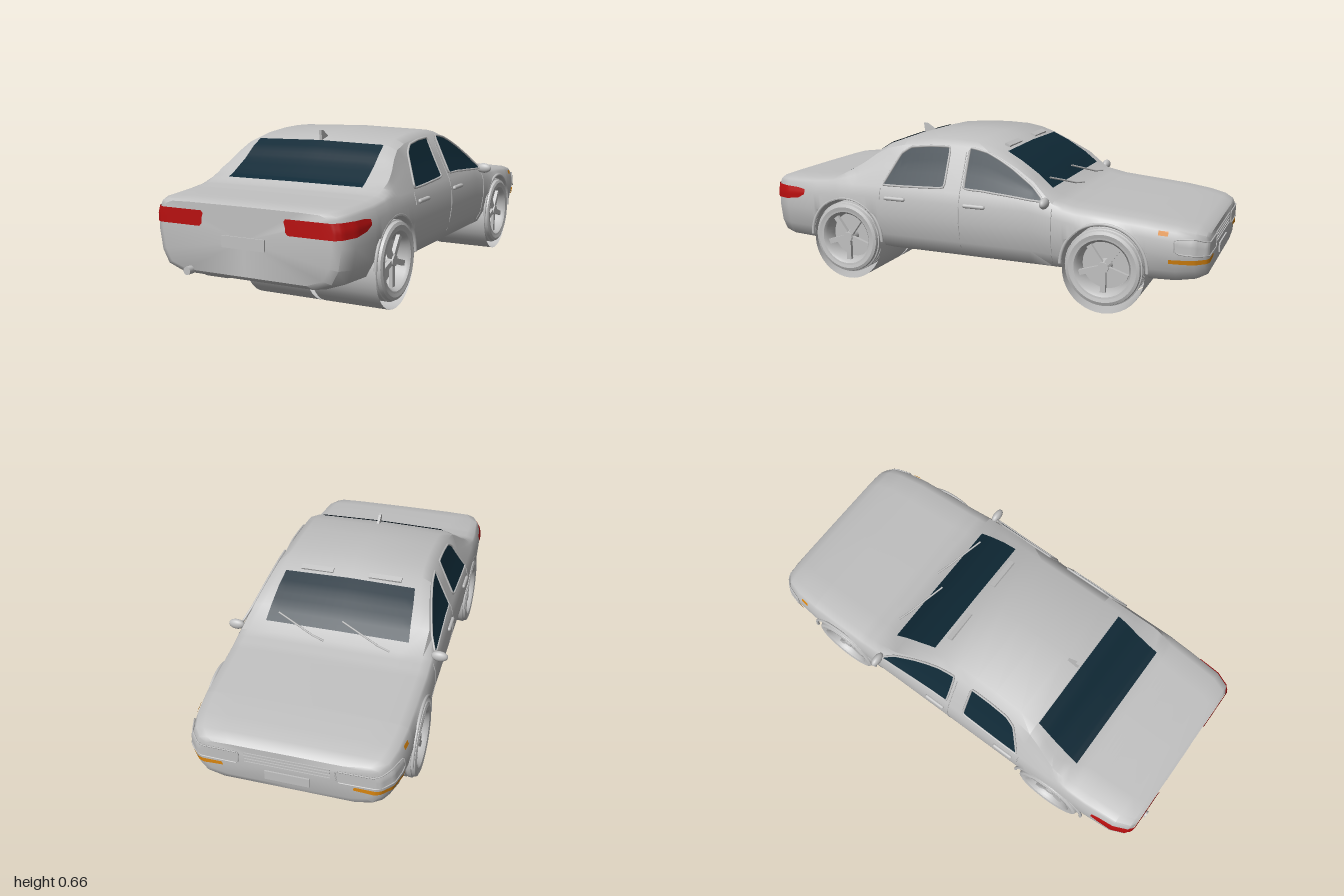
import * as THREE from 'three';
import { toCreasedNormals } from 'three/addons/utils/BufferGeometryUtils.js';

const { lerp, clamp } = THREE.MathUtils;
const V = (x, y, z) => new THREE.Vector3(x, y, z);
const mat = (name, color) => Object.assign(new THREE.MeshStandardMaterial({ color, side: THREE.DoubleSide }), { name });

// Body stations from nose (-z) to tail (+z): z, top height, half width, floor height
const STATIONS = [
  [-0.995, 0.345, 0.34, 0.19], [-0.985, 0.355, 0.368, 0.165], [-0.95, 0.368, 0.4, 0.15], [-0.88, 0.381, 0.42, 0.138],
  [-0.77, 0.395, 0.432, 0.135], [-0.475, 0.42, 0.44, 0.135], [-0.378, 0.44, 0.44, 0.135], [-0.287, 0.517, 0.44, 0.135],
  [-0.206, 0.57, 0.44, 0.135], [-0.13, 0.61, 0.44, 0.135], [-0.07, 0.634, 0.44, 0.135], [0, 0.648, 0.44, 0.135],
  [0.1, 0.652, 0.44, 0.135], [0.2, 0.65, 0.44, 0.135], [0.33, 0.638, 0.44, 0.135], [0.41, 0.617, 0.44, 0.135],
  [0.464, 0.582, 0.44, 0.135], [0.517, 0.537, 0.44, 0.135], [0.6, 0.483, 0.44, 0.135], [0.66, 0.455, 0.44, 0.135],
  [0.75, 0.446, 0.438, 0.135], [0.9, 0.44, 0.426, 0.14], [0.96, 0.435, 0.4, 0.15], [0.975, 0.428, 0.37, 0.165],
];
const NOSE = -0.995, TAIL = 0.975, AXLES = [-0.598, 0.585], AXLE_Y = 0.19, ARCH = 0.175;

// Half cross-section at z, from floor centre to roof centre
function section(z, archY = 0) {
  let i = 0;
  while (i < STATIONS.length - 2 && z > STATIONS[i + 1][0]) i++;
  const a = STATIONS[i], b = STATIONS[i + 1], t = clamp((z - a[0]) / (b[0] - a[0]), 0, 1);
  const [top, w, floor] = [1, 2, 3].map(k => lerp(a[k], b[k], t));
  const shoulder = Math.min(0.435, top - 0.025), h = top - shoulder;
  const k = clamp((top - 0.45) / 0.06, 0, 1);
  const pts = [[0, 0], [0.72, 0], [0.9, 0.1], [0.97, 0.3], [1, 0.6], [0.995, 0.85], [0.967, 1]]
    .map(([x, f]) => [x * w, Math.max(archY, lerp(floor, shoulder, f))]);
  const cabin = f => 0.415 - (shoulder + f * h - 0.44) * 0.41;
  pts.push([lerp(0.95 * w, cabin(0.45), k), shoulder + 0.45 * h], [lerp(0.87 * w, cabin(0.87), k), shoulder + 0.87 * h],
    [lerp(0.65 * w, cabin(0.87) - 0.04, k), shoulder + 0.965 * h], [0, top]);
  return pts;
}
// Half width of the body at height y, and height of its upper surface at x
function sideX(y, z) {
  const p = section(z);
  for (let i = 1; i < p.length - 1; i++)
    if (y <= p[i + 1][1] && y >= p[i][1]) return lerp(p[i][0], p[i + 1][0], (y - p[i][1]) / (p[i + 1][1] - p[i][1]));
  return p[p.length - 2][0];
}
function topY(x, z) {
  const p = section(z), ax = Math.abs(x);
  for (let i = p.length - 2; i > 5; i--)
    if (ax <= p[i][0]) return lerp(p[i + 1][1], p[i][1], (ax - p[i + 1][0]) / (p[i][0] - p[i + 1][0]));
  return p[6][1];
}

function buildGeometry(pos, idx) {
  const g = new THREE.BufferGeometry();
  g.setAttribute('position', new THREE.Float32BufferAttribute(pos, 3));
  g.setIndex(idx);
  return g;
}
// Closed hull lofted through the sections, its lower edge lifted over each wheel
function bodyGeometry() {
  const rows = STATIONS.map(s => [s[0], 0]).filter(([z]) => AXLES.every(c => Math.abs(z - c) > ARCH));
  for (const c of AXLES) {
    rows.push([c - ARCH - 0.0005, 0], [c + ARCH + 0.0005, 0]);
    for (let i = 0; i <= 20; i++) {
      const a = Math.PI * i / 20;
      rows.push([c - ARCH * Math.cos(a), AXLE_Y + ARCH * Math.sin(a)]);
    }
  }
  rows.sort((a, b) => a[0] - b[0]);
  const pos = [], idx = [];
  let n = 0;
  for (const [z, arch] of rows) {
    const half = section(z, arch);
    const ring = [...half, ...half.slice(1, -1).reverse().map(([x, y]) => [-x, y])];
    n = ring.length;
    for (const [x, y] of ring) pos.push(x, y, z);
  }
  const last = rows.length - 1, nose = rows.length * n;
  pos.push(0, 0.27, NOSE, 0, 0.3, TAIL);
  for (let j = 0; j < n; j++) {
    const k = (j + 1) % n;
    for (let i = 0; i < last; i++) {
      const a = i * n + j, b = i * n + k;
      idx.push(a, b, b + n, a, b + n, a + n);
    }
    idx.push(nose, k, j, nose + 1, last * n + j, last * n + k);
  }
  return toCreasedNormals(buildGeometry(pos, idx), 0.75);
}
// Thin panel lying on a surface: columns [u, low, high], placed by fn(u, v)
function patchGeometry(cols, fn, sub = 4, rows = 6) {
  const pos = [], idx = [], n = (cols.length - 1) * sub;
  for (let i = 0; i <= n; i++) {
    const c = Math.min(Math.floor(i / sub), cols.length - 2), t = i / sub - c;
    const [u, lo, hi] = [0, 1, 2].map(k => lerp(cols[c][k], cols[c + 1][k], t));
    for (let j = 0; j <= rows; j++) pos.push(...fn(u, lerp(lo, hi, j / rows)).toArray());
    if (i < n) for (let j = 0; j < rows; j++) {
      const a = i * (rows + 1) + j, b = a + rows + 1;
      idx.push(a, b, b + 1, a, b + 1, a + 1);
    }
  }
  const g = buildGeometry(pos, idx);
  g.computeVertexNormals();
  return g;
}
const tube = (pts, r, closed = false) =>
  new THREE.TubeGeometry(new THREE.CatmullRomCurve3(pts, closed, 'catmullrom', 0.1), pts.length * 4, r, 6, closed);
const outline = (cols, fn, r) =>
  tube([...cols.map(c => fn(c[0], c[1])), ...[...cols].reverse().map(c => fn(c[0], c[2]))], r, true);

export function createModel() {
  const car = new THREE.Group();
  car.name = 'car';
  const paint = mat('silverGrey', 0xc0c0c0), glass = mat('darkGlass', 0x0f2936);
  const red = mat('lampRed', 0xb80f0f), orange = mat('indicatorOrange', 0xd98510);
  const add = (name, geo, m, parent = car, x = 0, y = 0, z = 0) => {
    const mesh = new THREE.Mesh(geo, m);
    mesh.name = name;
    mesh.position.set(x, y, z);
    parent.add(mesh);
    return mesh;
  };
  add('body', bodyGeometry(), paint);

  // Windscreens
  const upper = (z, x) => V(x, topY(x, z) + 0.005, z);
  add('frontWindscreen', patchGeometry([[-0.345, -0.315, 0.315], [-0.287, -0.308, 0.308], [-0.206, -0.3, 0.3], [-0.135, -0.29, 0.29]], upper, 3, 16), glass);
  add('rearWindscreen', patchGeometry([[0.415, -0.295, 0.295], [0.464, -0.3, 0.3], [0.517, -0.303, 0.303], [0.6, -0.308, 0.308], [0.63, -0.31, 0.31]], upper, 3, 16), glass);

  // Wheel: grooved tyre, dished rim, five spokes
  const tyre = [[0.118, -0.06], [0.14, -0.065], [0.152, -0.06]];
  for (const y of [-0.038, -0.013, 0.013, 0.038])
    tyre.push([0.16, y - 0.009], [0.16, y + 0.007], [0.155, y + 0.009], [0.155, y + 0.013]);
  tyre.push([0.152, 0.06], [0.14, 0.065], [0.118, 0.06]);
  const lathe = pts => toCreasedNormals(new THREE.LatheGeometry(pts.map(p => new THREE.Vector2(...p)), 48), 0.6);
  const tyreGeo = lathe(tyre);
  const rimGeo = lathe([[0.11, -0.06], [0.1, 0], [0.108, 0.05], [0.118, 0.062], [0.126, 0.063]]);

  for (const s of [1, -1]) {
    const side = s > 0 ? 'left' : 'right';
    const onSide = (z, y) => V(s * (sideX(y, z) + 0.005), y, z);

    // Side windows with trim
    const windows = {
      RearWindow: [[0.395, 0.445, 0.452], [0.335, 0.445, 0.575], [0.29, 0.446, 0.606], [0.2, 0.449, 0.616], [0.125, 0.452, 0.618], [0.105, 0.46, 0.614]],
      FrontWindow: [[0.013, 0.46, 0.618], [-0.07, 0.455, 0.605], [-0.13, 0.45, 0.58], [-0.19, 0.446, 0.55], [-0.287, 0.438, 0.49], [-0.34, 0.436, 0.444]],
    };
    for (const [name, cols] of Object.entries(windows)) {
      add(side + name, patchGeometry(cols, onSide), glass);
      add(side + name + 'Trim', outline(cols, onSide, 0.005), paint);
    }
    // Door seams and handles
    for (const [z, lo, hi] of [[0.03, 0.15, 0.6], [-0.38, 0.15, 0.41], [0.41, 0.38, 0.43]]) {
      const pts = Array.from({ length: 9 }, (_, i) => onSide(z, lerp(lo, hi, i / 8)).sub(V(s * 0.004, 0, 0)));
      add(side + 'DoorSeam', tube(pts, 0.002), paint);
    }
    for (const z of [0.335, -0.04]) {
      const handle = add(side + 'DoorHandle', new THREE.CapsuleGeometry(0.009, 0.085, 4, 10), paint, car, s * 0.44, 0.39, z);
      handle.rotation.x = Math.PI / 2;
    }
    // Lamps wrapping the corners: u < 0 runs along the flank, u > 0 across the end
    const wrap = end => (u, y) => {
      const dir = Math.sign(end), z = end + Math.min(u, 0) * dir;
      return V(s * (sideX(y, z) + 0.006 - Math.max(u, 0)), y, z + dir * (u > -0.01 ? 0.005 : 0));
    };
    const tailCols = [[-0.175, 0.37, 0.392], [-0.14, 0.352, 0.398], [-0.075, 0.342, 0.4], [-0.015, 0.34, 0.4], [0, 0.34, 0.4], [0.18, 0.34, 0.4], [0.19, 0.35, 0.39]];
    add(side + 'TailLamp', patchGeometry(tailCols, wrap(TAIL)), red);
    const headCols = [[-0.12, 0.29, 0.33], [-0.1, 0.277, 0.335], [-0.045, 0.272, 0.335], [-0.01, 0.268, 0.322], [0, 0.265, 0.318], [0.14, 0.262, 0.316], [0.15, 0.27, 0.308]];
    add(side + 'HeadLamp', patchGeometry(headCols, wrap(NOSE)), paint);
    add(side + 'HeadLampTrim', outline(headCols, wrap(NOSE), 0.003), paint);
    add(side + 'Indicator', patchGeometry([[-0.14, 0.237, 0.253], [-0.045, 0.234, 0.253], [-0.01, 0.234, 0.253], [0, 0.234, 0.253], [0.08, 0.238, 0.253]], wrap(NOSE)), orange);
    add(side + 'Marker', patchGeometry([[-0.85, 0.344, 0.362], [-0.812, 0.346, 0.364]], onSide), orange);

    // Door mirror
    const mirror = add(side + 'Mirror', new THREE.SphereGeometry(1, 20, 14), paint, car, s * 0.448, 0.435, -0.355);
    mirror.scale.set(0.036, 0.023, 0.018);
    add(side + 'MirrorArm', tube([V(s * 0.4, 0.43, -0.34), V(s * 0.44, 0.43, -0.352)], 0.009), paint);
    // Roof strip
    add(side + 'RoofStrip', new THREE.BoxGeometry(0.145, 0.014, 0.025), paint, car, s * 0.153, topY(0.15, -0.105) + 0.001, -0.105).rotation.x = -0.4;

    for (const z of AXLES) {
      const wheel = new THREE.Group();
      wheel.name = side + (z < 0 ? 'NoseWheel' : 'TailWheel');
      wheel.position.set(s * 0.38, AXLE_Y, z);
      wheel.rotation.z = -s * Math.PI / 2;
      car.add(wheel);
      add('tyre', tyreGeo, paint, wheel);
      add('rim', rimGeo, paint, wheel);
      add('brakeDisc', new THREE.CylinderGeometry(0.1, 0.1, 0.012, 32), paint, wheel, 0, -0.01, 0);
      add('hub', new THREE.CylinderGeometry(0.022, 0.028, 0.05, 20), paint, wheel, 0, 0.025, 0);
      for (let i = 0; i < 5; i++) {
        const spoke = new THREE.Group();
        spoke.name = 'spoke';
        spoke.rotation.y = i * Math.PI * 0.4;
        wheel.add(spoke);
        add('spokeBar', new THREE.BoxGeometry(0.09, 0.016, 0.022), paint, spoke, 0.06, 0.036, 0);
      }
      // Arch lip
      const lip = add(side + 'ArchLip', new THREE.TorusGeometry(ARCH + 0.004, 0.007, 8, 32, Math.PI), paint, car, s * 0.434, AXLE_Y, z);
      lip.rotation.y = Math.PI / 2;
    }
  }
  // Open wheel-well drums
  for (const z of AXLES) for (const x of [-0.01, 0.29])
    add('wheelWell', new THREE.CylinderGeometry(0.17, 0.17, 0.28, 40, 1, true), paint, car, x, 0.17, z).rotation.z = Math.PI / 2;

  // Grille bars and number plates
  for (let i = 0; i < 4; i++) add('grilleBar', new THREE.BoxGeometry(0.34, 0.007, 0.008), paint, car, 0, 0.272 + i * 0.014, NOSE);
  add('nosePlate', new THREE.BoxGeometry(0.18, 0.04, 0.012), paint, car, 0, 0.228, NOSE);
  add('tailPlate', new THREE.BoxGeometry(0.19, 0.045, 0.012), paint, car, 0, 0.292, TAIL);

  // Exhaust, roof fin and wipers
  add('exhaust', new THREE.CylinderGeometry(0.016, 0.016, 0.1, 20), paint, car, -0.245, 0.165, 0.95).rotation.x = Math.PI / 2;
  const fin = new THREE.Shape([[-0.345, 0.625], [-0.405, 0.61], [-0.412, 0.66], [-0.395, 0.658]].map(p => new THREE.Vector2(...p)));
  add('roofFin', new THREE.ExtrudeGeometry(fin, { depth: 0.012, bevelEnabled: false }), paint, car, -0.006).rotation.y = Math.PI / 2;
  for (const x of [-0.245, 0.04]) {
    const pts = [0, 0.25, 0.5, 0.75, 1].map(t => upper(lerp(-0.395, -0.315, t), x + 0.225 * t).add(V(0, 0.006, 0)));
    add('wiper', tube(pts, 0.004), paint);
  }
  return car;
}
